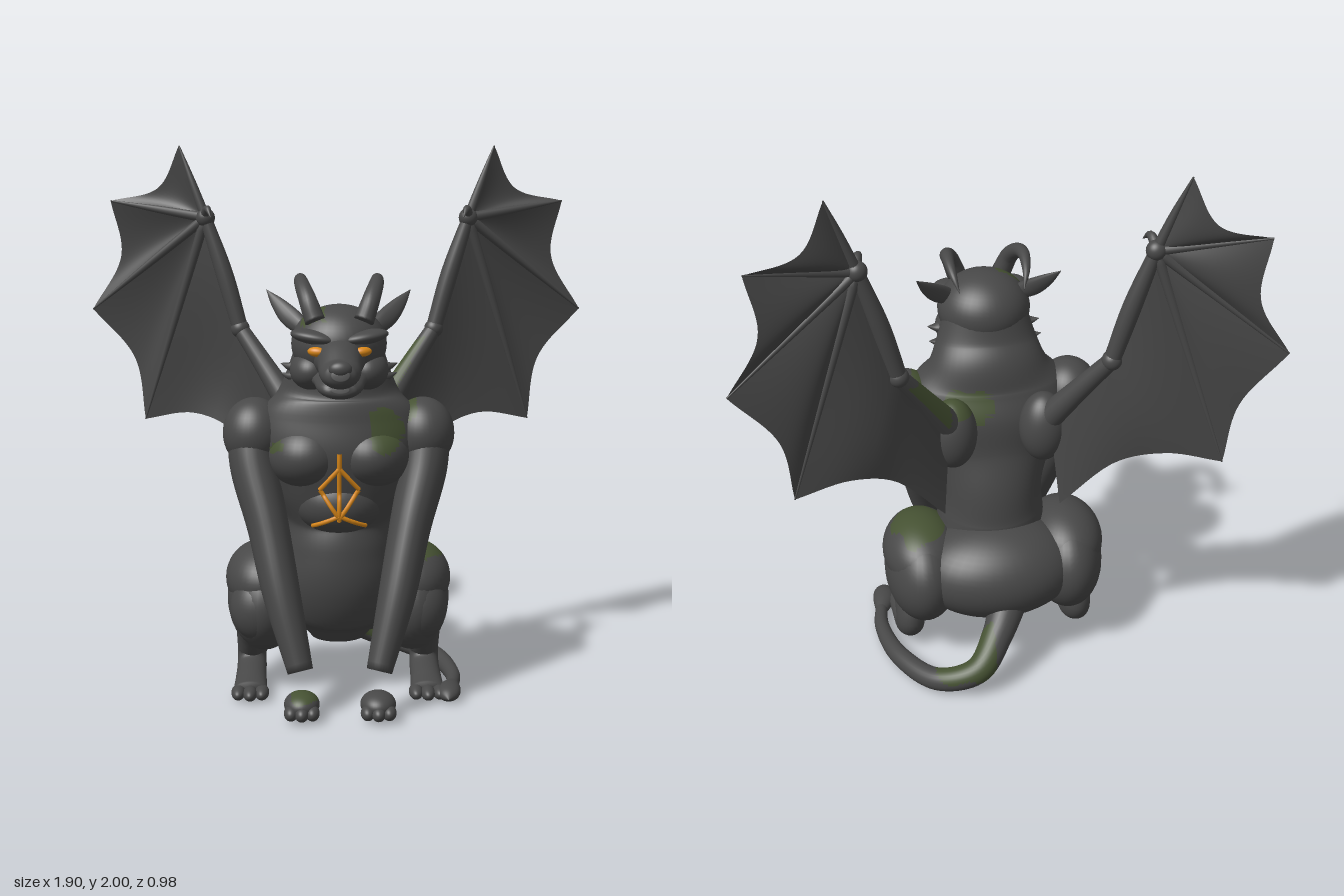
import * as THREE from 'three';
import { mergeGeometries } from 'three/addons/utils/BufferGeometryUtils.js';

const V = (p) => new THREE.Vector3(p[0], p[1], p[2]);
const X = [1, 0, 0], Y = [0, 1, 0], Z = [0, 0, 1];

// Smooth tapered limb: points are [x, y, z, sideRadius, upRadius]
function sweep(points, ref = X, steps = 40, sides = 28) {
  const path = new THREE.CatmullRomCurve3(points.map(V), false, 'catmullrom');
  const radii = new THREE.CatmullRomCurve3(
    points.map((p) => new THREE.Vector3(p[3], p[4] ?? p[3], 0)), false, 'catmullrom');
  const pos = [], index = [];
  for (let i = 0; i <= steps; i++) {
    const c = path.getPoint(i / steps), t = path.getTangent(i / steps), r = radii.getPoint(i / steps);
    const s = V(ref).addScaledVector(t, -V(ref).dot(t)).normalize();
    const u = t.clone().cross(s);
    for (let j = 0; j < sides; j++) {
      const a = (j / sides) * Math.PI * 2;
      const p = c.clone().addScaledVector(s, Math.cos(a) * Math.max(r.x, 0.001))
        .addScaledVector(u, Math.sin(a) * Math.max(r.y, 0.001));
      pos.push(p.x, p.y, p.z);
    }
  }
  const first = pos.length / 3, last = first + 1;
  pos.push(...path.getPoint(0).toArray(), ...path.getPoint(1).toArray());
  for (let j = 0; j < sides; j++) {
    const k = (j + 1) % sides, e = steps * sides;
    for (let i = 0; i < steps; i++) {
      const a = i * sides + j, b = i * sides + k;
      index.push(a, b, a + sides, b, b + sides, a + sides);
    }
    index.push(first, k, j, last, e + j, e + k);
  }
  const g = new THREE.BufferGeometry();
  g.setAttribute('position', new THREE.Float32BufferAttribute(pos, 3));
  g.setIndex(index);
  g.computeVertexNormals();
  return g;
}

// Ellipsoid placed in model space
function ball(c, r, rot = [0, 0, 0]) {
  const g = new THREE.SphereGeometry(1, 40, 28);
  g.deleteAttribute('uv');
  return g.scale(...r).rotateX(rot[0]).rotateY(rot[1]).rotateZ(rot[2]).translate(...c);
}

function mirror(geo) {
  const g = geo.clone().scale(-1, 1, 1);
  const a = g.index.array;
  for (let i = 0; i < a.length; i += 3) [a[i], a[i + 1]] = [a[i + 1], a[i]];
  g.computeVertexNormals();
  return g;
}

// Split faces into two material groups by a test on the face centre
function paint(g, test) {
  const p = g.attributes.position, sets = [[], []], a = g.index.array;
  for (let i = 0; i < a.length; i += 3) {
    const t = [a[i], a[i + 1], a[i + 2]];
    const mid = (f) => t.reduce((s, k) => s + f(k), 0) / 3;
    const x = mid((k) => p.getX(k)), y = mid((k) => p.getY(k)), z = mid((k) => p.getZ(k));
    sets[test(x, y + 0.012 * Math.sin(x * 40 + z * 30), z) ? 1 : 0].push(...t);
  }
  g.setIndex([...sets[0], ...sets[1]]);
  g.addGroup(0, sets[0].length, 0);
  g.addGroup(sets[0].length, sets[1].length, 1);
  return g;
}

// Ruled sheet between two curves, gently billowed
function sheet(inner, edge, billow) {
  const nu = 20, nv = 14, pos = [], index = [];
  for (let i = 0; i <= nu; i++) for (let j = 0; j <= nv; j++) {
    const p = inner(i / nu).lerp(edge.getPoint(i / nu), j / nv);
    pos.push(p.x, p.y, p.z - billow * Math.sin(Math.PI * i / nu) * Math.sin(Math.PI * j / nv * 0.7));
    const a = i * (nv + 1) + j, b = a + nv + 1;
    if (i < nu && j < nv) index.push(a, b, a + 1, b, b + 1, a + 1);
  }
  const g = new THREE.BufferGeometry();
  g.setAttribute('position', new THREE.Float32BufferAttribute(pos, 3));
  g.setIndex(index);
  g.computeVertexNormals();
  return g;
}

export function createModel() {
  const group = new THREE.Group();
  const material = (name, color) => Object.assign(new THREE.MeshStandardMaterial({ color }), { name });
  const stone = material('stone', 0x484848), moss = material('moss', 0x465233);
  const amber = material('amber', 0xd98718), membrane = material('membrane', 0x454545);
  membrane.side = THREE.DoubleSide;

  const add = (name, geo, test, mat = stone) => {
    const mesh = new THREE.Mesh(test ? paint(geo, test) : geo, test ? [stone, moss] : mat);
    mesh.name = name;
    group.add(mesh);
    return mesh;
  };
  const both = (name, geo, test, mat) => {
    const other = mirror(geo);
    return [add(name + 'Left', geo, test, mat), add(name + 'Right', other, test, mat)];
  };

  // Torso and neck, mossy on the left collar and upper back
  const patch = (x, y, cx, cy, rx, ry) => Math.hypot((x - cx) / rx, (y - cy) / ry) < 1;
  const torsoMoss = (x, y, z) => (z > 0
    ? patch(x, y, 0.165, 1.01, 0.065, 0.075) || patch(x, y, -0.225, 0.94, 0.025, 0.02)
    : patch(x, y, 0.09, 1.02, 0.08, 0.07));
  const torso = add('torso', sweep([
    [0, 0.18, -0.06, 0.1, 0.08], [0, 0.28, -0.05, 0.18, 0.16], [0, 0.42, 0, 0.21, 0.19],
    [0, 0.54, 0.01, 0.2, 0.19], [0, 0.66, 0.01, 0.195, 0.175], [0, 0.8, 0.05, 0.25, 0.18],
    [0, 0.94, 0.07, 0.3, 0.19], [0, 1.05, 0.08, 0.285, 0.165], [0, 1.13, 0.08, 0.22, 0.15],
    [0, 1.21, 0.1, 0.185, 0.125], [0, 1.32, 0.12, 0.15, 0.115]], X, 80, 48), torsoMoss);
  const pecs = both('chestMuscle', ball([0.115, 0.905, 0.1], [0.15, 0.13, 0.18]), torsoMoss);
  const abdomen = add('abdomen', ball([0, 0.73, 0.09], [0.17, 0.13, 0.155]));
  add('pelvis', ball([0, 0.36, -0.13], [0.31, 0.19, 0.222]));

  // Glowing chest rune laid on the chest surface
  group.updateMatrixWorld(true);
  const ray = new THREE.Raycaster();
  const onChest = ([x, y]) => {
    ray.set(new THREE.Vector3(x, y, 2), new THREE.Vector3(0, 0, -1));
    return ray.intersectObjects([torso, abdomen, ...pecs])[0].point.add(new THREE.Vector3(0, 0, 0.005));
  };
  const strokes = [[[0, 0.93], [0, 0.68]], [[0, 0.875], [0.07, 0.795]], [[0.07, 0.795], [0, 0.69]],
    [[0, 0.875], [-0.07, 0.795]], [[-0.07, 0.795], [0, 0.69]], [[0, 0.7], [0.095, 0.655]], [[0, 0.7], [-0.095, 0.655]]];
  add('chestRune', mergeGeometries(strokes.map(([a, b]) => {
    const pts = Array.from({ length: 11 }, (_, i) => i / 10).map((t) =>
      onChest([a[0] + (b[0] - a[0]) * t + 1e-4, a[1] + (b[1] - a[1]) * t]));
    return new THREE.TubeGeometry(new THREE.CatmullRomCurve3(pts), 24, 0.008, 8);
  })), null, amber);

  // Head
  add('skull', ball([0, 1.31, 0.155], [0.17, 0.14, 0.165]),
    (x, y, z) => y > 1.39 && x < -0.05 && z > 0.16);
  add('muzzle', sweep([[0, 1.275, 0.2, 0.12, 0.1], [0, 1.262, 0.31, 0.082, 0.075],
    [0, 1.235, 0.4, 0.072, 0.052], [0, 1.232, 0.455, 0.057, 0.042], [0, 1.24, 0.485, 0.03, 0.02]]));
  add('lowerJaw', sweep([[0, 1.21, 0.18, 0.14, 0.06], [0, 1.195, 0.29, 0.095, 0.04],
    [0, 1.18, 0.36, 0.08, 0.038], [0, 1.175, 0.395, 0.06, 0.03], [0, 1.18, 0.412, 0.03, 0.012]]));
  add('nose', ball([0, 1.258, 0.465], [0.04, 0.028, 0.026]));
  both('brow', ball([0.09, 1.345, 0.265], [0.085, 0.026, 0.055], [0, 0.3, 0.15]));
  both('eye', ball([0.08, 1.298, 0.306], [0.033, 0.017, 0.02], [0, 0.35, 0.06]), null, amber);
  both('cheek', ball([0.1, 1.22, 0.19], [0.075, 0.07, 0.1]));
  for (const [y, z] of [[1.24, 0.17], [1.2, 0.13]])
    both('cheekTuft', sweep([[0.12, y, z, 0.03, 0.04], [0.17, y - 0.01, z, 0.017, 0.024],
      [0.208, y, z - 0.01, 0.001]], Y, 10, 12));
  both('ear', sweep([[0.12, 1.36, 0.15, 0.026, 0.03], [0.175, 1.4, 0.105, 0.02, 0.036],
    [0.22, 1.445, 0.065, 0.012, 0.024], [0.26, 1.49, 0.03, 0.001]], Z, 20, 16));
  both('horn', sweep([[0.085, 1.4, 0.26, 0.036], [0.11, 1.47, 0.235, 0.032], [0.13, 1.517, 0.17, 0.027],
    [0.137, 1.533, 0.09, 0.021], [0.13, 1.507, 0.01, 0.013], [0.115, 1.46, -0.035, 0.001]], X, 40, 18));

  // Forelegs and separate front paws
  both('shoulder', ball([0.305, 0.975, 0.075], [0.115, 0.13, 0.125]),
    (x, y) => x > 0 && x < 0.28 && y > 1.04);
  both('foreleg', sweep([[0.315, 1.0, 0.07, 0.09, 0.1], [0.305, 0.85, 0.11, 0.087, 0.11],
    [0.255, 0.65, 0.19, 0.075, 0.1], [0.205, 0.42, 0.28, 0.067, 0.08], [0.14, 0.165, 0.36, 0.046, 0.05]]));
  both('frontPaw', ball([0.135, 0.055, 0.39], [0.063, 0.046, 0.078]), (x, y) => x < 0 && y > 0.08);
  for (const dx of [-0.038, 0, 0.038])
    both('frontToe', ball([0.135 + dx, 0.037, 0.448 - Math.abs(dx) * 0.3], [0.025, 0.027, 0.04]));

  // Hind legs, mossy on the left haunch
  const haunchMoss = (x, y) => x > 0.15 && y > 0.505;
  both('thigh', ball([0.275, 0.335, -0.06], [0.14, 0.2, 0.235], [0.15, 0, 0]), haunchMoss);
  both('haunch', ball([0.275, 0.41, -0.05], [0.145, 0.137, 0.205]), haunchMoss);
  both('knee', ball([0.29, 0.32, 0.06], [0.11, 0.13, 0.11]));
  both('shin', sweep([[0.31, 0.28, 0.02, 0.075, 0.1], [0.32, 0.2, -0.04, 0.062, 0.085],
    [0.325, 0.12, -0.08, 0.055, 0.07], [0.325, 0.065, -0.04, 0.055, 0.05],
    [0.325, 0.045, 0.08, 0.058, 0.04], [0.325, 0.035, 0.17, 0.062, 0.03]]));
  for (const dx of [-0.043, 0, 0.043])
    both('hindToe', ball([0.325 + dx, 0.028, 0.185 - Math.abs(dx) * 0.3], [0.026, 0.026, 0.055]));

  // Tail curling round to the left
  add('tail', sweep([[-0.03, 0.28, -0.24, 0.075], [0.03, 0.2, -0.35, 0.058], [0.12, 0.1, -0.43, 0.05],
    [0.27, 0.05, -0.39, 0.042], [0.385, 0.04, -0.22, 0.036], [0.43, 0.032, -0.02, 0.028],
    [0.415, 0.03, 0.14, 0.022]], Y, 70), (x, y, z) => z < -0.35 && x > 0.05 && x < 0.27 && y > 0.075);
  add('tailTip', sweep([[0.425, 0.03, 0.08, 0.02], [0.405, 0.032, 0.16, 0.03, 0.042],
    [0.398, 0.03, 0.22, 0.026, 0.036], [0.395, 0.025, 0.265, 0.001]], Y, 24));

  // Wings
  const root = [0.18, 1.03, -0.2], elbow = [0.37, 1.31, -0.33], wrist = [0.5, 1.73, -0.36];
  const tips = [[0.6, 2, -0.4], [0.87, 1.79, -0.46], [0.95, 1.37, -0.49], [0.75, 0.94, -0.46]];
  const dips = [[0.685, 1.84, -0.42], [0.835, 1.58, -0.46], [0.79, 1.18, -0.46]];
  const hem = [tips[3], [0.56, 0.97, -0.4], [0.4, 0.91, -0.33], [0.21, 0.7, -0.27]];
  const curve = (pts) => new THREE.CatmullRomCurve3(pts.map(V));
  const armLine = (u) => u < 0.5 ? V(wrist).lerp(V(elbow), u * 2) : V(elbow).lerp(V(root), u * 2 - 1);
  both('wingMembrane', mergeGeometries([
    ...dips.map((d, i) => sheet(() => V(wrist), curve([tips[i], d, tips[i + 1]]), 0.025)),
    sheet(armLine, curve(hem), 0.03)]), null, membrane);
  both('wingShoulder', ball([0.165, 0.975, -0.17], [0.088, 0.135, 0.087]),
    (x, y) => x > 0 && y > 1.05);
  // Moss grows on the upper, inward side of the left wing arm
  both('wingUpperArm', sweep([[...root, 0.05], [0.28, 1.18, -0.27, 0.038], [...elbow, 0.03]], Z, 30, 18),
    (x, y) => x > 0.18 && y < 1.27 && (y - 1.03) * 0.56 - (x - 0.18) * 0.83 > 0.004);
  both('wingForearm', sweep([[...elbow, 0.03], [0.43, 1.52, -0.345, 0.033], [...wrist, 0.023]], Z, 24, 16));
  both('wingElbow', ball(elbow, [0.036, 0.036, 0.036]));
  both('wingWrist', ball(wrist, [0.036, 0.036, 0.034]));
  both('wingThumbClaw', sweep([[0.5, 1.74, -0.35, 0.02], [0.49, 1.765, -0.31, 0.014],
    [0.475, 1.735, -0.27, 0.001]], X, 14, 10));
  tips.forEach((tip) => {
    const mid = V(wrist).lerp(V(tip), 0.5);
    both('wingFinger', sweep([[...wrist, 0.02], [mid.x, mid.y, mid.z + 0.004, 0.014], [...tip, 0.003]], Z, 16, 10));
  });
  return group;
}
